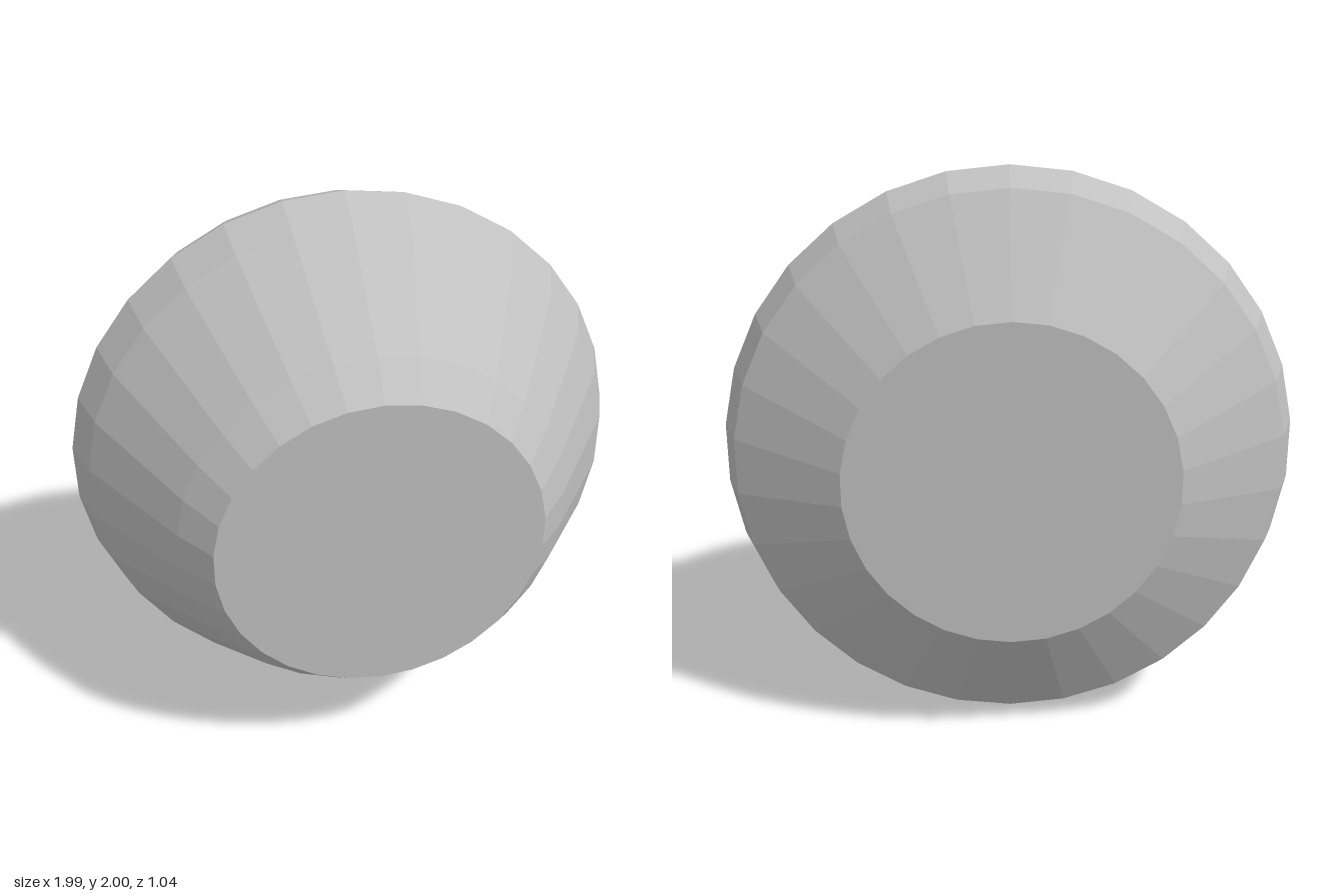
import * as THREE from 'three';

export function createModel() {
  const group = new THREE.Group();
  const grey = new THREE.MeshStandardMaterial({ color: 0xc0c0c0, flatShading: true });
  grey.name = 'light grey';

  // Profile as [radius, z], from the back face to the front face
  const profile = [
    [0, -0.522], [0.563, -0.522], // flat back
    [0.945, -0.295], [1, -0.148], [0.945, 0], // bevelled rim
    [0.67, 0.4], [0.563, 0.522], [0, 0.522], // tapering front and flat face
  ].map(([r, z]) => new THREE.Vector2(r, z));

  // Thirty-sided turned body, with its axis laid along z
  const geometry = new THREE.LatheGeometry(profile, 30);
  geometry.rotateX(Math.PI / 2);
  const body = new THREE.Mesh(geometry, grey);
  body.name = 'facetedBody';
  body.position.y = 1;
  group.add(body);
  return group;
}
